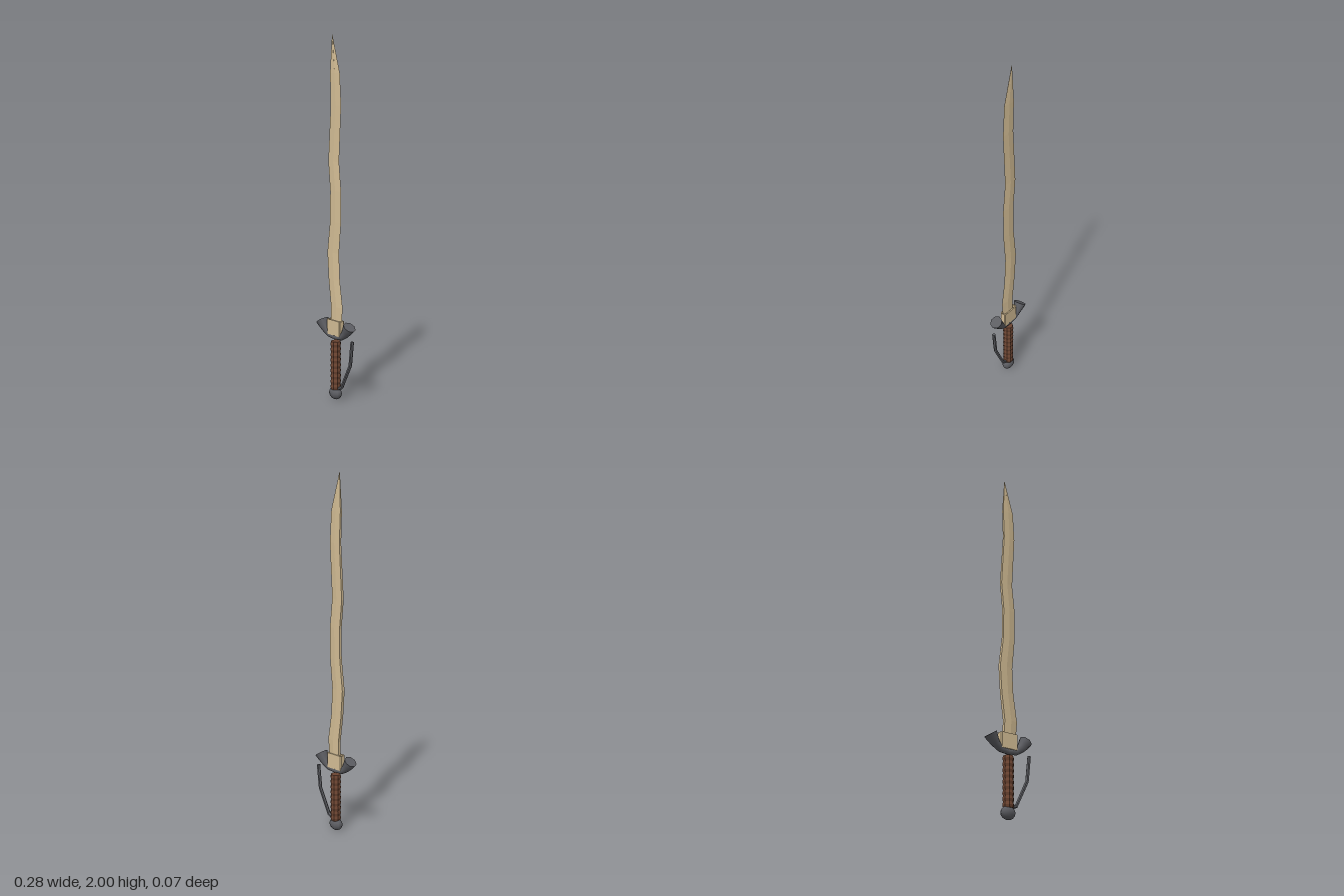
import * as THREE from 'three';
import { toCreasedNormals } from 'three/addons/utils/BufferGeometryUtils.js';

const material = (color, flatShading = false) =>
  new THREE.MeshStandardMaterial({ color, flatShading });

// Skin a list of equal-sized rings ([x, y, z] points), closing both ends.
function loft(rings, crease) {
  const n = rings[0].length, pos = [];
  const tri = (a, b, c) => pos.push(...a, ...b, ...c);
  for (let i = 0; i < rings.length - 1; i++) {
    for (let j = 0; j < n; j++) {
      const k = (j + 1) % n, p = rings[i], q = rings[i + 1];
      tri(p[j], p[k], q[k]);
      tri(p[j], q[k], q[j]);
    }
  }
  const first = rings[0], last = rings[rings.length - 1];
  for (let j = 1; j < n - 1; j++) {
    tri(first[0], first[j + 1], first[j]);
    tri(last[0], last[j], last[j + 1]);
  }
  const g = new THREE.BufferGeometry();
  g.setAttribute('position', new THREE.Float32BufferAttribute(pos, 3));
  g.computeVertexNormals();
  return toCreasedNormals(g, crease);
}

// Ring of points in the xy-swept plane: tilt is the path angle from +x.
function ring(x, y, tilt, rN, rZ, sides) {
  return Array.from({ length: sides }, (_, j) => {
    const a = (j / sides) * Math.PI * 2, u = rN * Math.cos(a);
    return [x - Math.sin(tilt) * u, y + Math.cos(tilt) * u, rZ * Math.sin(a)];
  });
}

export function createModel() {
  const model = new THREE.Group();
  model.name = 'sword';
  const tan = material(0xd2bc94, true);
  const iron = material(0x5c5d62);
  const leather = material(0x6b4431, true);
  const add = (name, geometry, mat) => {
    const mesh = new THREE.Mesh(geometry, mat);
    mesh.name = name;
    model.add(mesh);
    return mesh;
  };

  // Wavy blade: thick spine on -x, ridge in the middle, sharp edge on +x.
  const stations = [ // y, spine x, edge x, half thickness
    [0.36, -0.032, 0.04, 0.009], [0.42, -0.03, 0.046, 0.009],
    [0.53, -0.028, 0.056, 0.009], [0.68, -0.047, 0.033, 0.009],
    [0.83, -0.057, 0.026, 0.009], [1.0, -0.037, 0.042, 0.008],
    [1.17, -0.035, 0.043, 0.008], [1.33, -0.05, 0.026, 0.008],
    [1.63, -0.032, 0.042, 0.007], [1.8, -0.038, 0.032, 0.006],
    [2.0, -0.028, -0.026, 0.001],
  ];
  add('blade', loft(stations.map(([y, s, e, t]) => {
    const m = s + (e - s) * 0.5;
    return [[s, y, t], [m, y, t], [e, y, 0], [m, y, -t], [s, y, -t]];
  }), 0.3), tan);

  // Hollow collar around the blade root.
  const rect = (path, w, h, c) => {
    path.moveTo(-w + c, -h).lineTo(w - c, -h).lineTo(w, -h + c).lineTo(w, h - c);
    path.lineTo(w - c, h).lineTo(-w + c, h).lineTo(-w, h - c).lineTo(-w, -h + c);
    path.closePath();
    return path;
  };
  const collarShape = rect(new THREE.Shape(), 0.053, 0.018, 0.005);
  collarShape.holes.push(rect(new THREE.Path(), 0.047, 0.011, 0.003));
  const collar = add('collar',
    new THREE.ExtrudeGeometry(collarShape, { depth: 0.085, bevelEnabled: false }), tan);
  collar.rotation.x = -Math.PI / 2;
  collar.position.set(-0.002, 0.37, 0);

  // Crossguard with two flared, upturned ends.
  const half = [ // x, y, tilt, in-plane radius, z radius
    [0.045, 0.364, 0.4, 0.017, 0.018],
    [0.075, 0.387, 0.78, 0.023, 0.022],
    [0.094, 0.41, 0.92, 0.03, 0.029],
    [0.111, 0.435, 0.98, 0.037, 0.036],
  ];
  const guard = [
    ...half.map(([x, y, t, a, b]) => [-x, y, -t, a, b]).reverse(),
    [0, 0.358, 0, 0.015, 0.015],
    ...half,
  ];
  add('crossguard', loft(guard.map((s) => ring(...s, 8)), 0.9), iron);

  // Ribbed grip.
  const ribs = 9, bottom = 0.06, top = 0.335;
  const profile = [new THREE.Vector2(0, bottom)];
  for (let i = 0; i <= ribs * 2; i++) {
    const y = bottom + ((top - bottom) * i) / (ribs * 2);
    profile.push(new THREE.Vector2(i % 2 ? 0.031 : 0.027, y));
  }
  profile.push(new THREE.Vector2(0, top));
  const grip = new THREE.LatheGeometry(profile, 8);
  grip.rotateY(Math.PI / 8);
  add('grip', grip, leather);

  // Flattened ball pommel.
  const pommel = add('pommel', new THREE.SphereGeometry(1, 10, 8), iron);
  pommel.scale.set(0.043, 0.036, 0.029);
  pommel.position.set(-0.002, 0.036, 0);

  // Bent knuckle bow, rising from the pommel on the +x side.
  const bow = [
    [0.025, 0.068, 0.15], [0.05, 0.08, 0.65], [0.118, 0.22, 1.27], [0.133, 0.357, 1.46],
  ];
  add('knuckleBow', loft(bow.map(([x, y, t]) => ring(x, y, t, 0.01, 0.01, 6)), 0.4), iron);

  return model;
}
